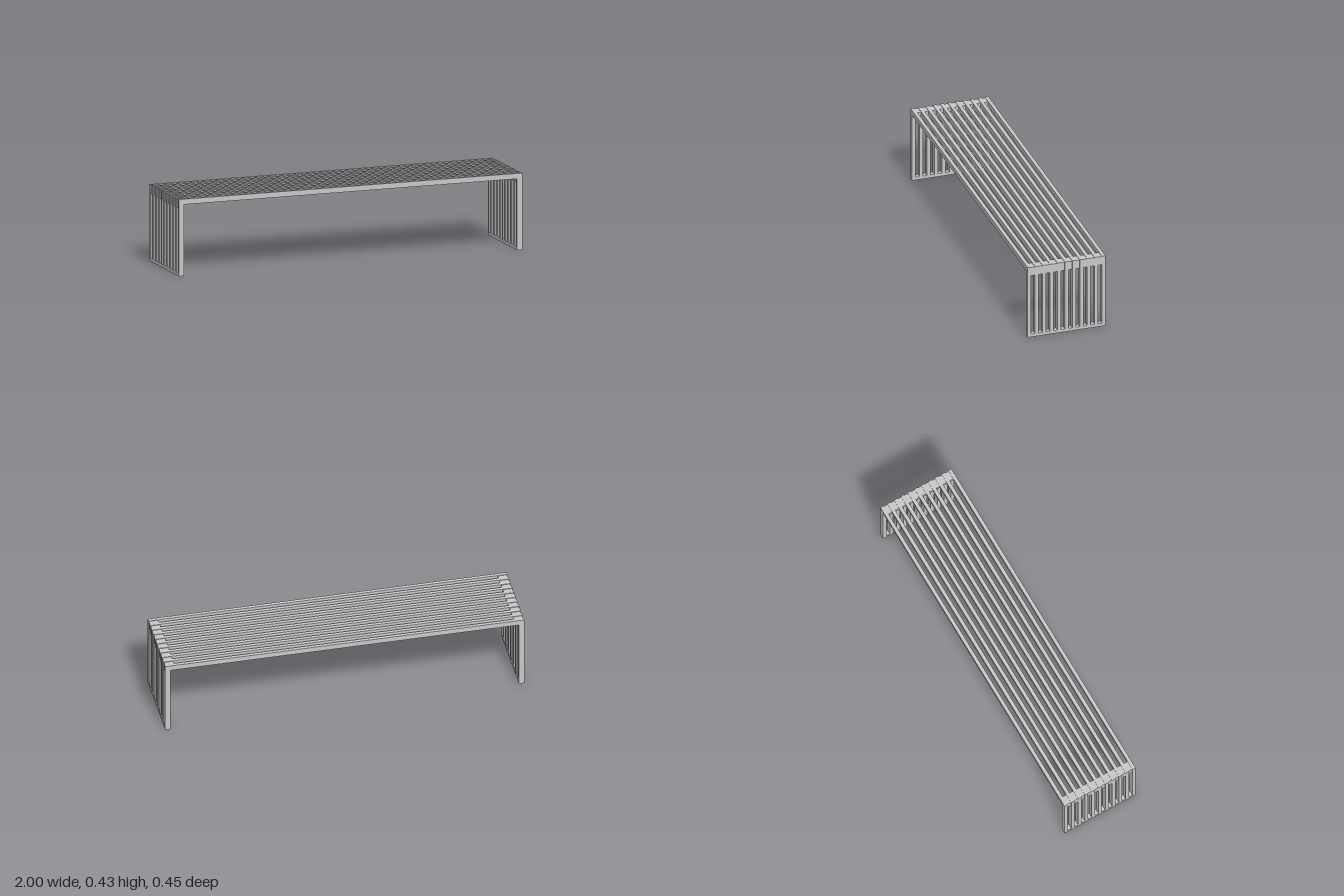
import * as THREE from 'three';

const HEIGHT = 0.427, BAR = 0.03, DEPTH = 0.447, SLAT = 0.02, COUNT = 11, RECESS = 0.003;
const PITCH = (DEPTH - SLAT) / (COUNT - 1), GAP = PITCH - SLAT;

// Extrude an outline in the x-y plane, centred on z = 0
function profile(points, depth) {
  const shape = new THREE.Shape(points.map(([x, y]) => new THREE.Vector2(x, y)));
  return new THREE.ExtrudeGeometry(shape, { depth, bevelEnabled: false }).translate(0, 0, -depth / 2);
}

export function createModel() {
  const bench = new THREE.Group();
  bench.name = 'slattedBench';
  const metal = new THREE.MeshStandardMaterial({ color: 0xc8c8c8 });
  metal.name = 'lightGreyMetal';

  const add = (name, geometry, z) => {
    const mesh = new THREE.Mesh(geometry, metal);
    mesh.name = name;
    mesh.position.z = z;
    bench.add(mesh);
  };

  // Each slat is one continuous bar: leg, seat, leg
  const inner = 1 - BAR, under = HEIGHT - BAR;
  const slat = profile([[-1, 0], [-inner, 0], [-inner, under], [inner, under],
    [inner, 0], [1, 0], [1, HEIGHT], [-1, HEIGHT]], SLAT);

  // Recessed L-shaped spacers fill the corners between slats
  const out = 1 - RECESS, top = HEIGHT - RECESS;
  const inX = inner + RECESS, inY = under + RECESS;
  const corner = [[out, 0.374], [out, top], [0.945, top], [0.945, inY], [inX, inY], [inX, 0.374]];
  const leftSpacer = profile(corner, GAP);
  const rightSpacer = profile(corner.map(([x, y]) => [-x, y]).reverse(), GAP);

  // Foot rails join the slats at the floor
  const rail = new THREE.BoxGeometry(BAR, 0.018, GAP);
  const leftRail = rail.clone().translate(1 - BAR / 2, 0.009, 0);
  const rightRail = rail.clone().translate(-1 + BAR / 2, 0.009, 0);

  for (let i = 0; i < COUNT; i++) {
    const z = (i - (COUNT - 1) / 2) * PITCH;
    add('slat', slat, z);
    if (i === COUNT - 1) break;
    const mid = z + PITCH / 2;
    add('leftCornerSpacer', leftSpacer, mid);
    add('rightCornerSpacer', rightSpacer, mid);
    add('leftFootRail', leftRail, mid);
    add('rightFootRail', rightRail, mid);
  }
  return bench;
}
